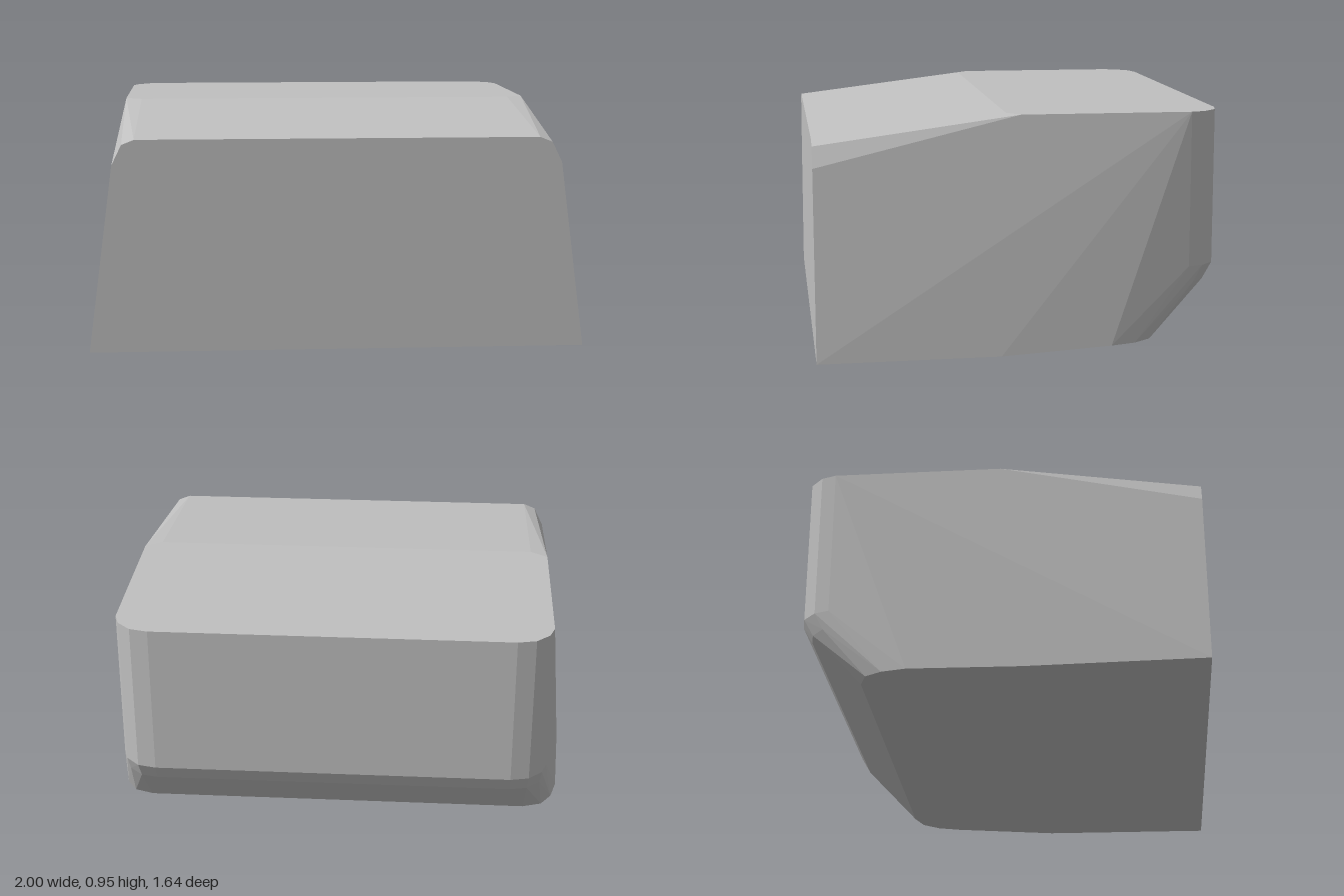
import * as THREE from 'three';
import { ConvexGeometry } from 'three/addons/geometries/ConvexGeometry.js';

export function createModel() {
  const group = new THREE.Group();
  group.name = 'taperedBlock';
  const grey = new THREE.MeshStandardMaterial({ color: 0xc0c0c0 });
  grey.name = 'light grey';

  // Corners of the left half; the right half is mirrored
  const half = [
    // front face with clipped upper corners
    [1, 0, 0.82], [0.9, 0.755, 0.82], [0.86, 0.837, 0.82], [0.81, 0.857, 0.82],
    // crease where the top begins to slope
    [0.88, 0.95, 0], [0.81, 0.95, 0.05],
    // underside, rounded toward the back
    [0.98, 0, 0.09], [0.95, 0.02, -0.36], [0.925, 0.022, -0.46],
    [0.88, 0.025, -0.53], [0.8, 0.027, -0.56],
    // lower back bevel
    [0.885, 0.25, -0.62], [0.855, 0.25, -0.715], [0.8, 0.25, -0.765], [0.73, 0.25, -0.78],
    [0.89, 0.31, -0.64],
  ];

  // Rounded upright back corners, from the bevel to the top
  for (const [x, z] of [[0.88, -0.69], [0.86, -0.75], [0.805, -0.803], [0.73, -0.82]]) {
    half.push([x, 0.32, z], [x, 0.95, z]);
  }

  const points = half.flatMap(([x, y, z]) => [
    new THREE.Vector3(x, y, z),
    new THREE.Vector3(-x, y, z),
  ]);

  const body = new THREE.Mesh(new ConvexGeometry(points), grey);
  body.name = 'body';
  group.add(body);
  return group;
}
